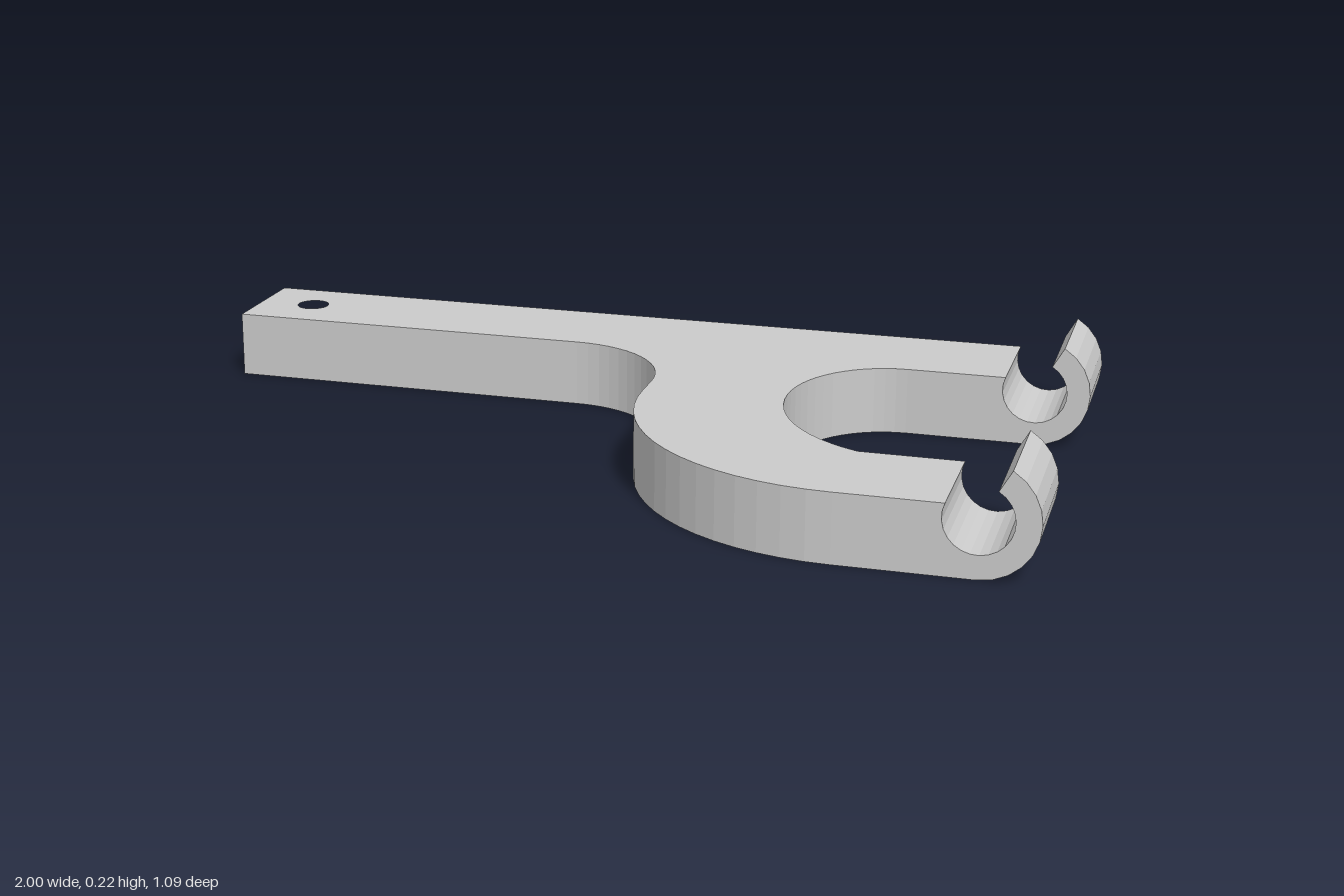
import * as THREE from 'three';

const H = 0.148; // plate thickness
const rad = THREE.MathUtils.degToRad;

// Points along an elliptical arc, angles in degrees
function arc(cx, cy, rx, ry, from, to, n) {
  return Array.from({ length: n + 1 }, (_, i) => {
    const a = rad(from + ((to - from) * i) / n);
    return new THREE.Vector2(cx + rx * Math.cos(a), cy + ry * Math.sin(a));
  });
}

const pt = (x, y) => new THREE.Vector2(x, y);

export function createModel() {
  const group = new THREE.Group();
  const material = new THREE.MeshStandardMaterial({ color: 0xcccccc });

  const back = [-0.545, -0.293];
  const front = [0.29, 0.541];
  const end = 0.8; // where the hooks begin

  // Flat plate: long bar with a curved branch, outline in x and z
  const outline = [
    pt(-1, back[0]), pt(end, back[0]), pt(end, back[1]),
    ...arc(0.6, -0.04, 0.215, 0.253, -90, -180, 14),
    ...arc(0.745, -0.04, 0.36, 0.36, 180, 113.7, 12).slice(1),
    pt(end, front[0]), pt(end, front[1]),
    ...arc(0.6, 0.02, 0.52, 0.521, 90, 180, 16),
    ...arc(-0.165, -0.05, 0.245, 0.243, 0, -90, 14),
    pt(-1, back[1]),
  ];
  const flip = (points) => points.map((p) => pt(p.x, -p.y));
  const plateShape = new THREE.Shape(flip(outline));

  // Screw hole near the free end of the bar
  plateShape.holes.push(new THREE.Path(flip(arc(-0.87, -0.42, 0.037, 0.037, 0, 345, 23))));

  const plateGeometry = new THREE.ExtrudeGeometry(plateShape, { depth: H, bevelEnabled: false });
  plateGeometry.rotateX(-Math.PI / 2);
  const plate = new THREE.Mesh(plateGeometry, material);
  plate.name = 'plate';
  group.add(plate);

  // Open clip hooks, side profile in x and y
  const cx = 0.88, cy = 0.12;
  const hookShape = new THREE.Shape([
    pt(end, 0),
    ...arc(cx, cy, 0.12, 0.12, -90, 60, 10),
    ...arc(cx, cy, 0.07, 0.07, 60, -203.6, 18),
    pt(end, H),
  ]);
  for (const [name, [z0, z1]] of [['backHook', back], ['frontHook', front]]) {
    const geometry = new THREE.ExtrudeGeometry(hookShape, { depth: z1 - z0, bevelEnabled: false });
    const hook = new THREE.Mesh(geometry, material);
    hook.name = name;
    hook.position.z = z0;
    group.add(hook);
  }

  return group;
}
